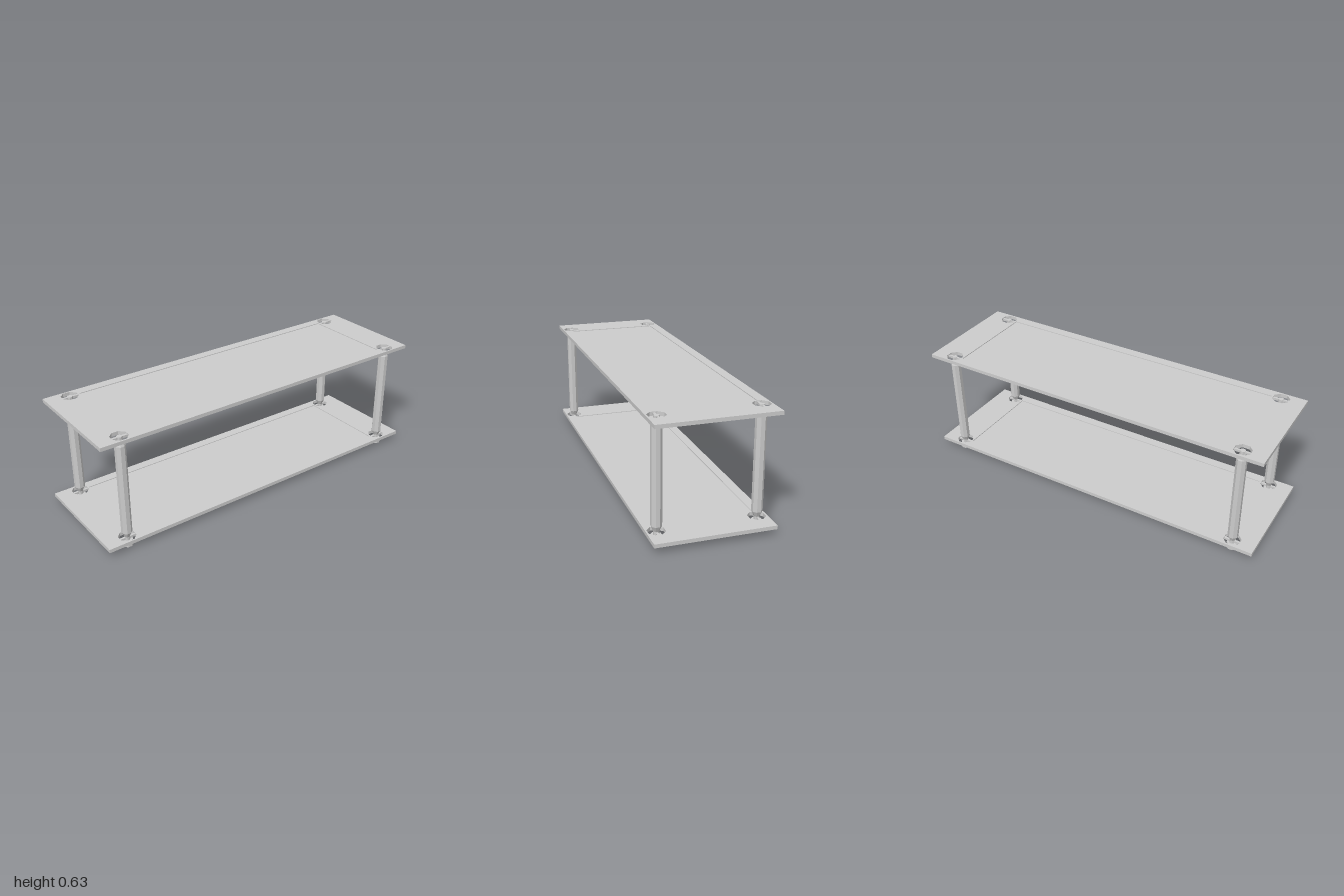
import * as THREE from 'three';

const POST_X = 0.873, POST_Z = 0.257;
const THICK = 0.0195, HALF_DEPTH = 0.308;
const PANEL_X = 0.82, PANEL_Z = 0.256;
const OCT = Math.cos(Math.PI / 8);

// Octagon with flat sides facing the axes; r is the distance to a flat
function octagonPath(cx, cy, r) {
  const pts = [];
  for (let i = 0; i < 8; i++) {
    const a = Math.PI / 8 + i * Math.PI / 4;
    pts.push(new THREE.Vector2(cx + Math.cos(a) * r / OCT, cy + Math.sin(a) * r / OCT));
  }
  return new THREE.Path(pts);
}

function rectPoints(hx, hy) {
  return [[-hx, -hy], [hx, -hy], [hx, hy], [-hx, hy]].map(p => new THREE.Vector2(...p));
}

// Eight-sided turned part from [radius to flat, height] pairs
function octagonLathe(profile) {
  const pts = profile.map(([r, y]) => new THREE.Vector2(r / OCT, y));
  return new THREE.LatheGeometry(pts, 8, Math.PI / 8);
}

export function createModel() {
  const model = new THREE.Group();
  const material = new THREE.MeshStandardMaterial({ color: 0xcccccc, flatShading: true });
  const add = (parent, name, geometry, x = 0, y = 0, z = 0) => {
    const mesh = new THREE.Mesh(geometry, material);
    mesh.name = name;
    mesh.position.set(x, y, z);
    parent.add(mesh);
    return mesh;
  };
  const corners = [[-1, -1], [1, -1], [1, 1], [-1, 1]].map(([a, b]) => [a * POST_X, b * POST_Z]);

  // Shelf border, open in the middle and at the four posts
  const outline = new THREE.Shape(rectPoints(1, HALF_DEPTH));
  outline.holes.push(new THREE.Path(rectPoints(PANEL_X, PANEL_Z)));
  for (const [x, z] of corners) outline.holes.push(octagonPath(x, z, 0.043));
  const border = new THREE.ExtrudeGeometry(outline, { depth: THICK, bevelEnabled: false });
  border.rotateX(-Math.PI / 2);

  // Slightly recessed centre panel and the cross bars that hold the posts
  const panel = new THREE.BoxGeometry(PANEL_X * 2, THICK - 0.006, PANEL_Z * 2);
  const bar = new THREE.BoxGeometry(0.088, 0.012, 0.012);

  for (const [name, y] of [['lowerShelf', 0.0325], ['upperShelf', 0.6075]]) {
    const shelf = new THREE.Group();
    shelf.name = name;
    shelf.position.y = y;
    add(shelf, 'shelfBorder', border);
    add(shelf, 'shelfPanel', panel, 0, THICK / 2 - 0.001, 0);
    for (const [x, z] of corners) add(shelf, 'crossBar', bar, x, THICK / 2, z);
    model.add(shelf);
  }

  // Post: foot, neck through the lower shelf, tapered shaft, neck in the upper shelf
  const post = octagonLathe([
    [0, 0], [0.026, 0], [0.026, 0.0325], [0.0135, 0.0325], [0.0135, 0.052],
    [0.026, 0.08], [0.026, 0.578], [0.0135, 0.6075], [0.0135, 0.625], [0, 0.625],
  ]);
  for (const [x, z] of corners) add(model, 'post', post, x, 0, z);

  return model;
}
